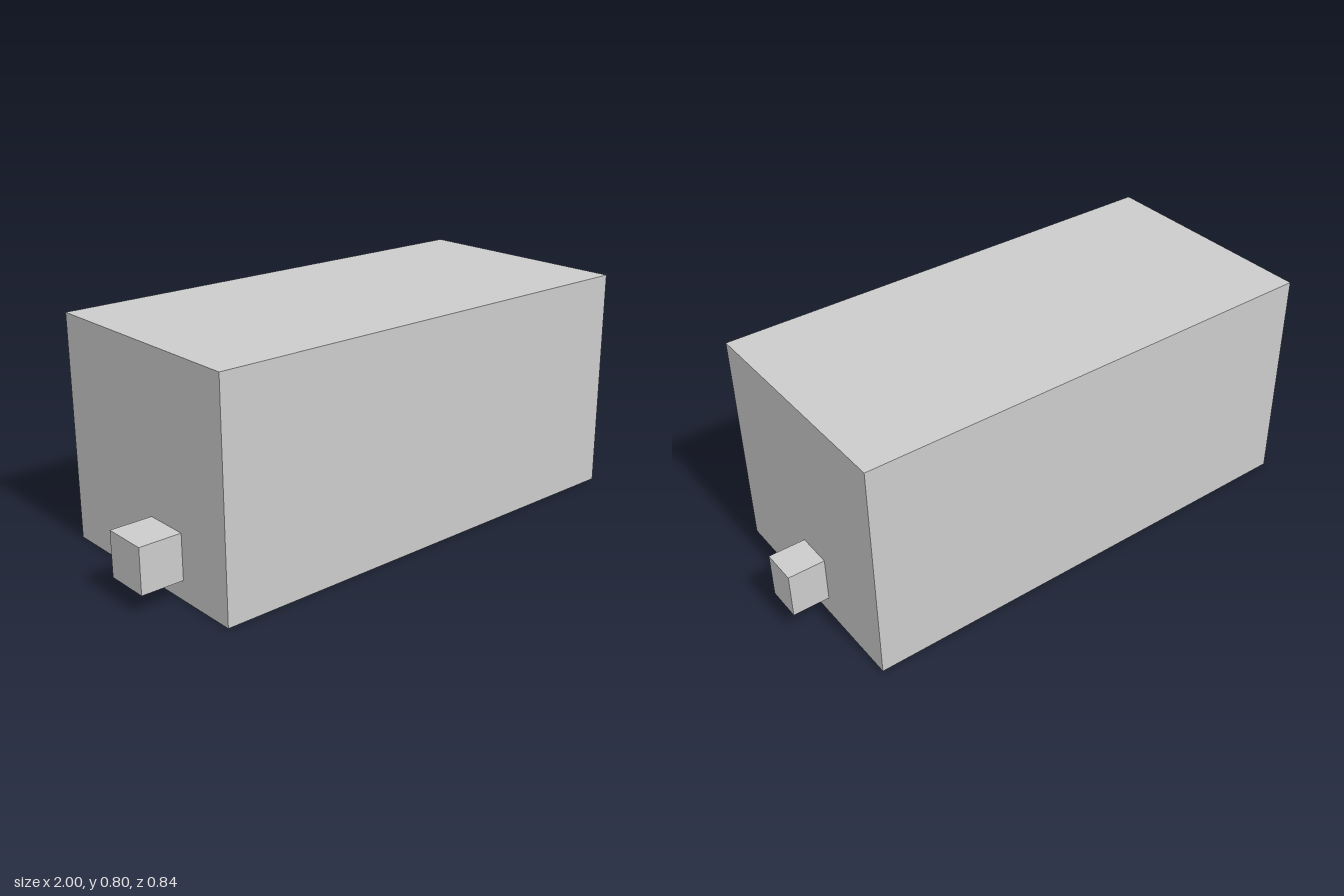
import * as THREE from 'three';

const material = new THREE.MeshStandardMaterial({ color: 0xcccccc, flatShading: true });

// Box given by its lower and upper corners
function block(name, min, max) {
  const size = max.map((v, i) => v - min[i]);
  const mesh = new THREE.Mesh(new THREE.BoxGeometry(...size), material);
  mesh.position.set(...max.map((v, i) => (v + min[i]) / 2));
  mesh.name = name;
  return mesh;
}

export function createModel() {
  const group = new THREE.Group();
  group.name = 'boxWithEndBlocks';
  group.add(
    // Main body
    block('body', [-0.85, 0, -0.42], [0.87, 0.797, 0.418]),
    // Small blocks standing out of the two ends
    block('leftEndBlock', [0.87, 0.07, -0.1], [1, 0.234, 0.028]),
    block('rightEndBlock', [-1, 0.07, 0.028], [-0.85, 0.23, 0.19])
  );
  return group;
}
